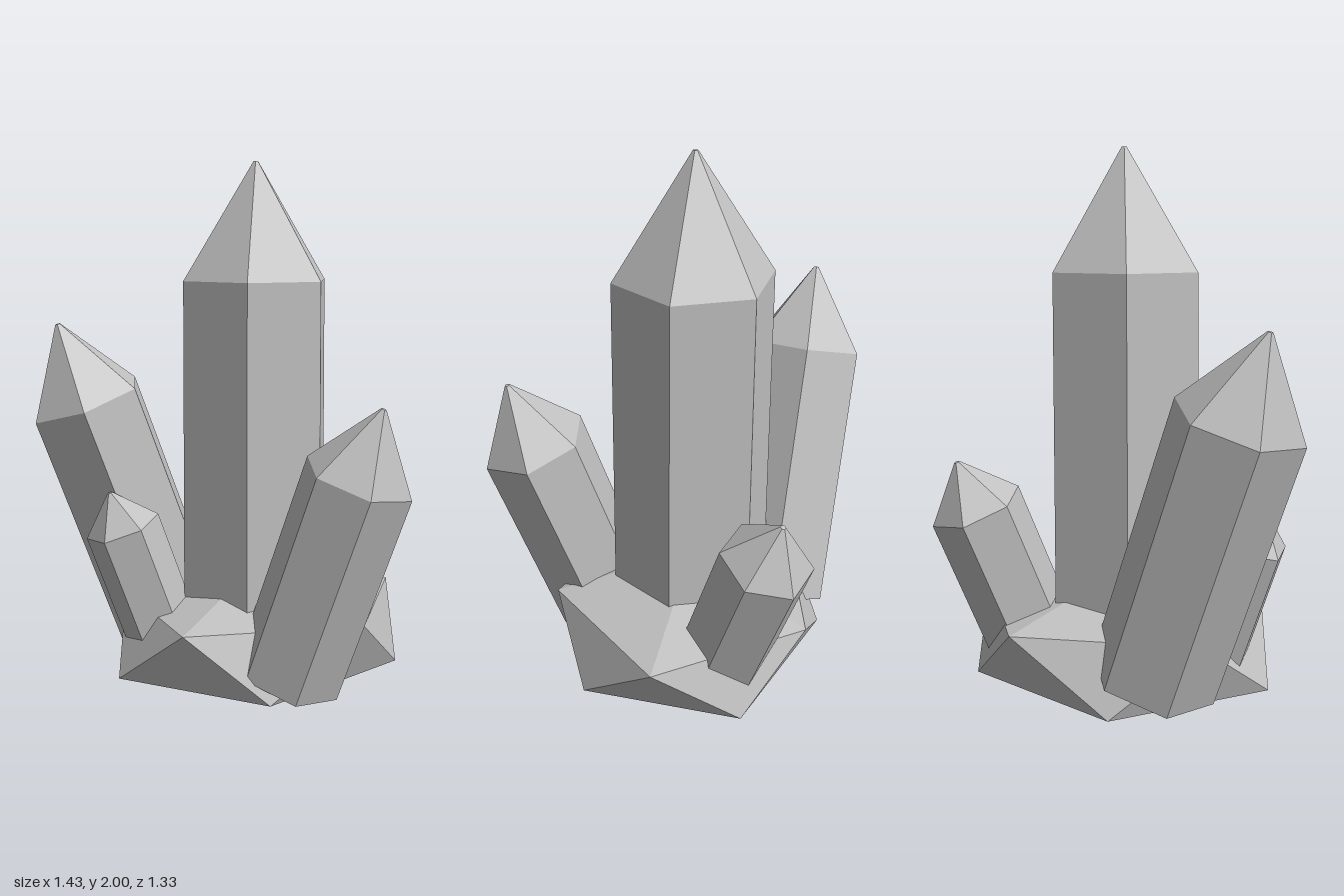
import * as THREE from 'three';
import { ConvexGeometry } from 'three/addons/geometries/ConvexGeometry.js';

const UP = new THREE.Vector3(0, 1, 0);

// Six-sided prism with a pointed cap, running from base to tip.
function crystal(name, material, { base, tip, radius, shoulder, twist, flare = 1 }) {
  const from = new THREE.Vector3(...base);
  const axis = new THREE.Vector3(...tip).sub(from);
  const length = axis.length();
  const profile = [
    [0, 0], [radius * flare, 0], [radius, length * shoulder], [0.01, length], [0, length],
  ].map(([r, y]) => new THREE.Vector2(r, y));
  const start = THREE.MathUtils.degToRad(30 - twist);
  const mesh = new THREE.Mesh(new THREE.LatheGeometry(profile, 6, start), material);
  mesh.name = name;
  mesh.position.copy(from);
  mesh.quaternion.setFromUnitVectors(UP, axis.normalize());
  return mesh;
}

// Squashed twenty-sided boulder: two opposed pentagons between two poles.
function rock(material) {
  const points = [new THREE.Vector3(0.09, 0, -0.125), new THREE.Vector3(0.1, 0.415, -0.13)];
  for (let i = 0; i < 5; i++) {
    const a = (i * Math.PI * 2) / 5;
    const x = Math.cos(a) * 0.592, z = Math.sin(a) * 0.518;
    points.push(new THREE.Vector3(0.12 + x, 0.27, -0.13 + z));
    points.push(new THREE.Vector3(0.09 - x, 0.025, -0.13 - z));
  }
  const mesh = new THREE.Mesh(new ConvexGeometry(points), material);
  mesh.name = 'baseRock';
  return mesh;
}

export function createModel() {
  const stone = new THREE.MeshStandardMaterial({ color: 0xc0c0c0, flatShading: true });
  stone.name = 'grey stone';

  const group = new THREE.Group();
  group.name = 'crystalCluster';
  group.add(rock(stone));

  const crystals = {
    mainCrystal: {
      base: [0.085, 0.05, -0.125], tip: [0.085, 2, -0.125],
      radius: 0.3, shoulder: 0.77, twist: 2, flare: 1.03,
    },
    backRightCrystal: {
      base: [-0.165, 0.12, -0.41], tip: [-0.61, 1.38, -0.467],
      radius: 0.235, shoulder: 0.76, twist: -9,
    },
    frontCrystal: {
      base: [0.04, 0.08, 0.245], tip: [0.257, 1.125, 0.54],
      radius: 0.206, shoulder: 0.756, twist: -12,
    },
    backLeftCrystal: {
      base: [0.37, 0.09, -0.3], tip: [0.555, 0.87, -0.553],
      radius: 0.172, shoulder: 0.78, twist: 14,
    },
    smallRightCrystal: {
      base: [-0.27, 0.1, -0.19], tip: [-0.495, 0.745, -0.215],
      radius: 0.146, shoulder: 0.79, twist: 20,
    },
  };
  for (const [name, spec] of Object.entries(crystals)) group.add(crystal(name, stone, spec));
  return group;
}
